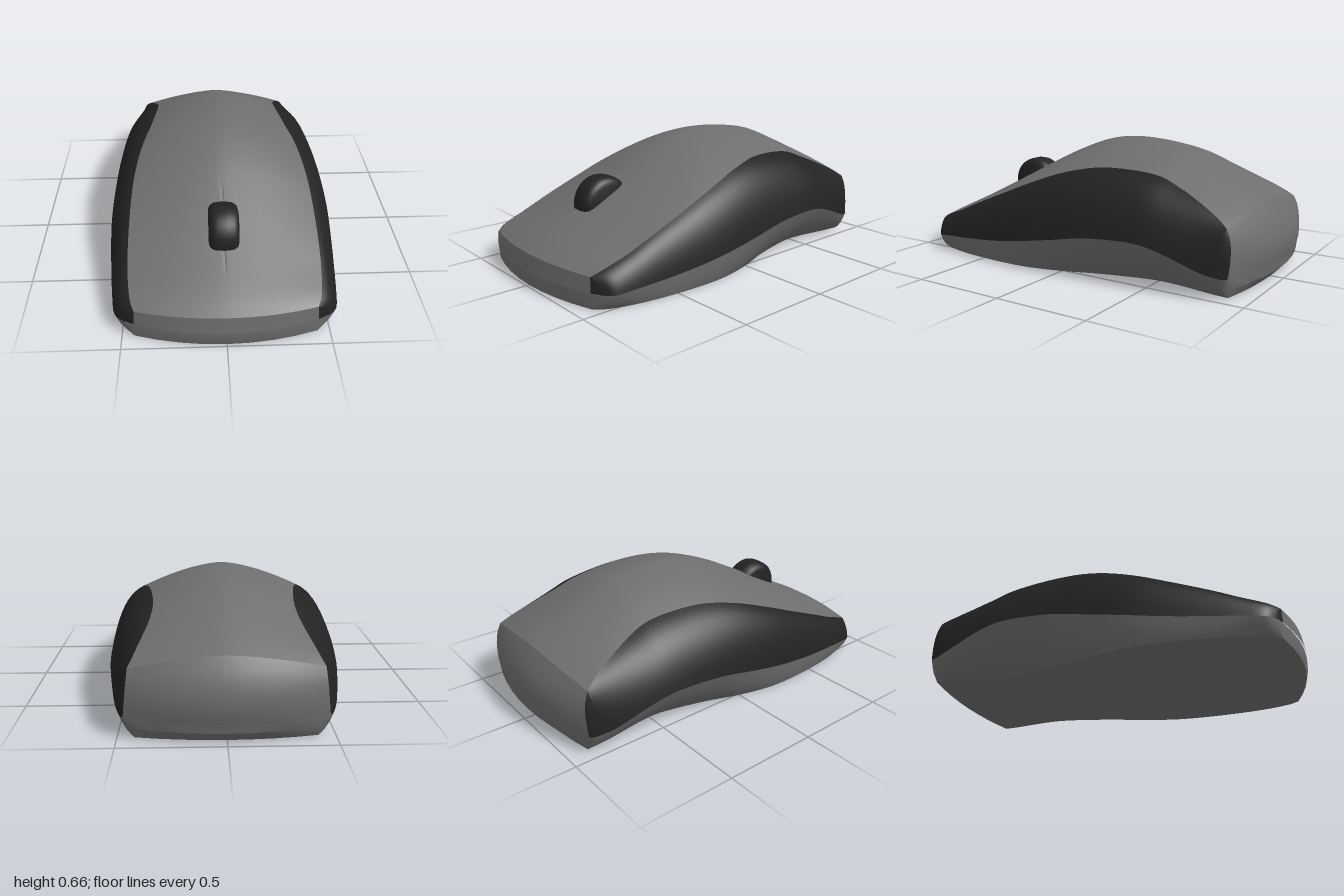
import * as THREE from 'three';
import { toCreasedNormals } from 'three/addons/utils/BufferGeometryUtils.js';

// Stations from front to back:
// z, crown height, seam half-width, seam height, outer half-width, panel bottom height, sole half-width
const STATIONS = [
  [0.985, 0.165, 0.435, 0.155, 0.49, 0.08, 0.44],
  [0.9, 0.215, 0.455, 0.18, 0.535, 0.08, 0.48],
  [0.75, 0.29, 0.47, 0.225, 0.555, 0.09, 0.52],
  [0.6, 0.365, 0.475, 0.285, 0.57, 0.1, 0.545],
  [0.4, 0.47, 0.472, 0.365, 0.588, 0.12, 0.56],
  [0.2, 0.57, 0.458, 0.445, 0.6, 0.15, 0.555],
  [0, 0.64, 0.425, 0.51, 0.597, 0.185, 0.51],
  [-0.2, 0.655, 0.38, 0.54, 0.587, 0.22, 0.44],
  [-0.45, 0.622, 0.35, 0.525, 0.57, 0.23, 0.38],
  [-0.6, 0.565, 0.36, 0.475, 0.553, 0.2, 0.38],
  [-0.8, 0.468, 0.41, 0.39, 0.52, 0.13, 0.41],
  [-0.93, 0.4, 0.445, 0.33, 0.49, 0.105, 0.42],
];
const ROWS = 48, SECTION = 10;
const lerp = THREE.MathUtils.lerp;
const bezier = (a, b, c, t) => (1 - t) * (1 - t) * a + 2 * t * (1 - t) * b + t * t * c;

// Smooth interpolation of the station table
function sampleStations() {
  const curve = (pick) => new THREE.CatmullRomCurve3(
    STATIONS.map((s) => new THREE.Vector3(...pick(s))), false, 'catmullrom', 0.5);
  const a = curve((s) => [s[0], s[1], s[2]]);
  const b = curve((s) => [s[3], s[4], s[5]]);
  const c = curve((s) => [s[6], 0, 0]);
  return Array.from({ length: ROWS + 1 }, (_, i) => {
    const t = i / ROWS, p = a.getPoint(t), q = b.getPoint(t), r = c.getPoint(t);
    return { z: p.x, top: p.y, seamX: p.z, seamY: q.x, outX: q.y, lowY: q.z, soleX: r.x };
  });
}

// Both ends are bowed in plan, so corners sit behind the centre line
const bowed = (x, y, z) =>
  [x, y, z - Math.sign(z) * 0.09 * z ** 8 * (x / 0.46) ** 2];

// Skin between rows of points (front to back, each running clockwise seen from the front)
function skin(name, rows, material) {
  const n = rows[0].length, index = [];
  for (let i = 0; i < rows.length - 1; i++) {
    for (let j = 0; j < n - 1; j++) {
      const a = i * n + j, b = a + 1, c = a + n, d = c + 1;
      index.push(a, b, c, b, d, c);
    }
  }
  const geo = new THREE.BufferGeometry();
  geo.setAttribute('position', new THREE.Float32BufferAttribute(rows.flat(2), 3));
  geo.setIndex(index);
  const mesh = new THREE.Mesh(toCreasedNormals(geo, 0.5), material);
  mesh.name = name;
  return mesh;
}

// Edges of the shell's front lip and back face, v from top to bottom
const frontEdge = (v) => ({
  z: lerp(0.985, 1, v), top: lerp(0.165, 0.08, v), seamX: lerp(0.435, 0.44, v), seamY: lerp(0.155, 0.08, v),
});
const backEdge = (v) => ({
  z: bezier(-0.93, -1.04, -0.99, v), top: bezier(0.4, 0.235, 0.1, v),
  seamX: lerp(0.445, 0.47, v), seamY: bezier(0.33, 0.22, 0.1, v),
});

// Crowned row of the top shell, with a shallow split between the two buttons
function shellRow(s) {
  const half = [0.02, 0.06, 0.14, 0.25, 0.37, 0.5, 0.62, 0.74, 0.85, 0.93, 1];
  const us = [...half.map((u) => -u).reverse(), 0, ...half];
  const k = (s.z - 0.25) / 0.63;
  const groove = k > 0 && k < 1 ? 0.006 * Math.sin(Math.PI * k) : 0;
  return us.map((u) => bowed(u * s.seamX,
    s.seamY + (s.top - s.seamY) * (1 - Math.abs(u) ** 1.6) - (u === 0 ? groove : 0), s.z));
}

// Bulging row of a side panel, from the shell seam down to the base
function panelRow(s) {
  return Array.from({ length: SECTION + 1 }, (_, j) => {
    const v = j / SECTION;
    return bowed(
      bezier(s.seamX, lerp(s.outX, s.seamX, 0.2), s.outX, v),
      bezier(s.seamY, lerp(s.seamY, s.lowY, 0.2), s.lowY, v), s.z);
  });
}

// Panel end that follows the side edge of the shell
function panelEnd(edge) {
  return Array.from({ length: SECTION + 1 }, (_, j) => {
    const e = edge(j / SECTION);
    return bowed(e.seamX, e.seamY, e.z);
  });
}

// Row of the base: side wall, flat sole, other side wall; lift closes the ends
function baseRow(s, z = s.z, lift = 0, scale = 1) {
  const side = Array.from({ length: 7 }, (_, j) => {
    const v = j / 6;
    return [bezier(s.outX, lerp(s.soleX, s.outX, 0.65), s.soleX, v), bezier(s.lowY, s.lowY * 0.35, 0, v)];
  });
  const sole = [0.75, 0.5, 0.25, 0, -0.25, -0.5, -0.75].map((u) => [u * s.soleX, 0]);
  const other = side.map(([x, y]) => [-x, y]).reverse();
  return [...side, ...sole, ...other].map(([x, y]) => bowed(x * scale, lerp(y, s.lowY, lift), z));
}

export function createModel() {
  const grey = new THREE.MeshStandardMaterial({ color: 0x6e6e6e });
  grey.name = 'grey plastic';
  const black = new THREE.MeshStandardMaterial({ color: 0x222222 });
  black.name = 'black rubber';

  const model = new THREE.Group();
  model.name = 'computerMouse';
  const body = sampleStations();
  const first = body[0], last = body[ROWS];

  // Top shell with front lip and back face
  const backRows = [1, 2, 3, 4, 5, 6].map((i) => shellRow(backEdge(i / 6)));
  model.add(skin('topShell', [shellRow(frontEdge(1)), ...body.map(shellRow), ...backRows], grey));

  // Side grips
  const left = [panelEnd(frontEdge), ...body.map(panelRow), panelEnd(backEdge)];
  const right = left.map((row) => row.map(([x, y, z]) => [-x, y, z]).reverse());
  model.add(skin('leftGrip', left, black), skin('rightGrip', right, black));

  // Base
  model.add(skin('base', [
    baseRow(first, 0.995, 1, 0.97), baseRow(first, 0.995, 0.5, 0.98),
    ...body.map((s) => baseRow(s)),
    baseRow(last, -0.98, 0.5, 0.98), baseRow(last, -0.99, 1, 0.96),
  ], grey));

  // Scroll wheel with rounded edges
  const profile = [[0, -0.075], [0.1, -0.075], [0.122, -0.068], [0.136, -0.05], [0.141, -0.025],
    [0.141, 0.025], [0.136, 0.05], [0.122, 0.068], [0.1, 0.075], [0, 0.075]]
    .map(([r, y]) => new THREE.Vector2(r, y));
  const wheel = new THREE.Mesh(toCreasedNormals(new THREE.LatheGeometry(profile, 40), 0.7), black);
  wheel.name = 'scrollWheel';
  wheel.rotation.z = Math.PI / 2;
  wheel.position.set(0, 0.342, 0.545);
  model.add(wheel);

  return model;
}
